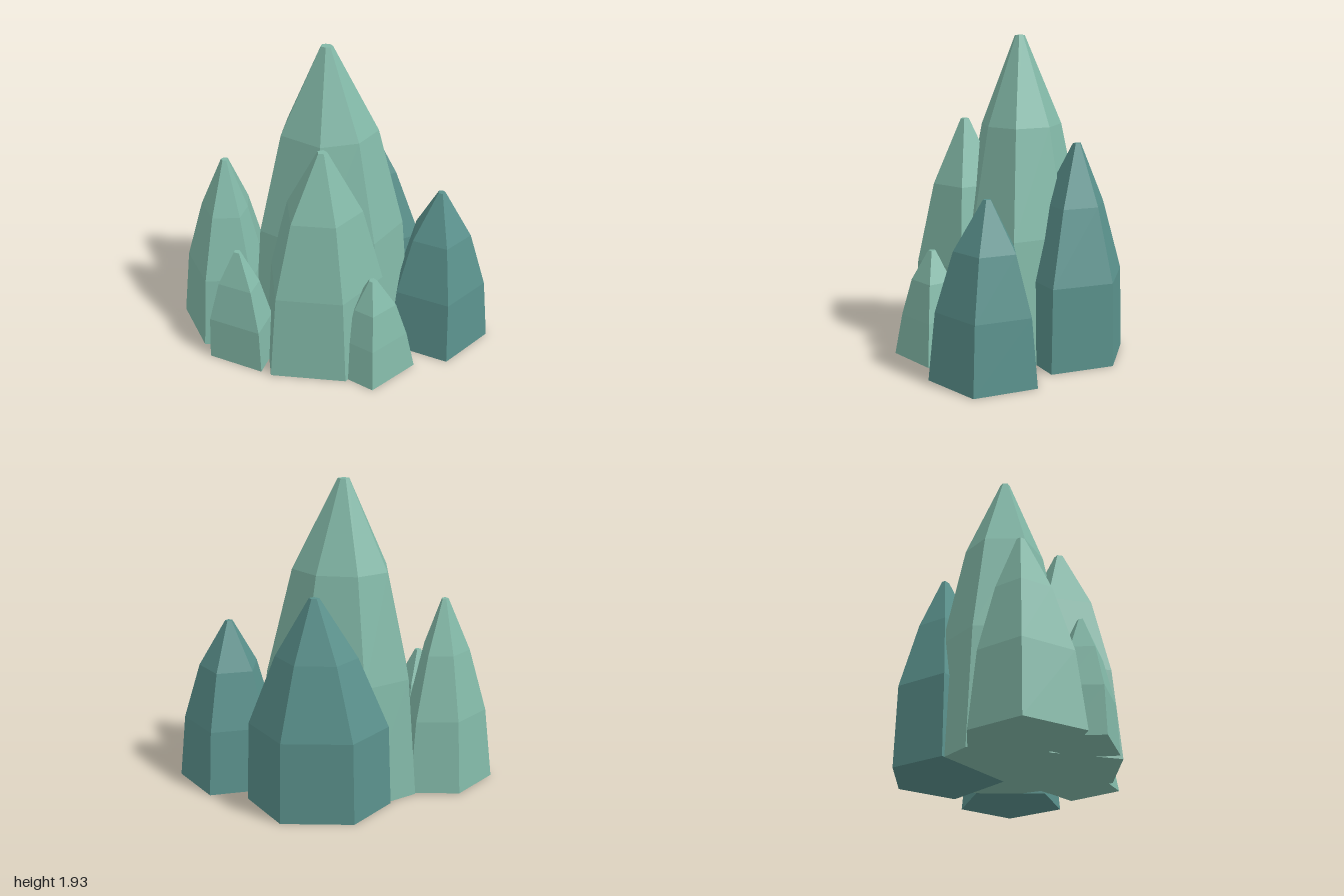
import * as THREE from 'three';

const green = new THREE.MeshStandardMaterial({ name: 'paleGreen', color: 0x82b8a7 });
const teal = new THREE.MeshStandardMaterial({ name: 'deepTeal', color: 0x5a918c });

// Faceted spire: base corners as [angle in degrees from +x towards +z, radius],
// shrunk through four rings up to a small flat tip.
function spire(name, material, x, z, height, corners, low = 0.88, high = 0.58, tip = 0.07) {
  const levels = [[0, 1], [0.385, low], [0.72, high], [1, tip]];
  const rings = levels.map(([t, s]) => corners.map(([deg, r]) => {
    const a = THREE.MathUtils.degToRad(deg);
    return [Math.cos(a) * r * s, t * height, Math.sin(a) * r * s];
  }));
  const pos = [];
  const tri = (...pts) => pts.forEach(p => pos.push(...p));
  const n = corners.length;
  for (let i = 0; i < n; i++) {
    const j = (i + 1) % n;
    for (let k = 0; k < 3; k++) {
      const lo = rings[k], hi = rings[k + 1];
      tri(lo[i], hi[i], lo[j]);
      tri(lo[j], hi[i], hi[j]);
    }
    tri([0, height, 0], rings[3][j], rings[3][i]); // flat tip
    tri([0, 0, 0], rings[0][i], rings[0][j]);      // underside
  }
  const geo = new THREE.BufferGeometry();
  geo.setAttribute('position', new THREE.Float32BufferAttribute(pos, 3));
  geo.computeVertexNormals();
  const mesh = new THREE.Mesh(geo, material);
  mesh.name = name;
  mesh.position.set(x, 0, z);
  return mesh;
}

export function createModel() {
  const group = new THREE.Group();
  group.name = 'crystalCluster';
  group.add(
    // tall centre
    spire('mainSpire', green, -0.05, -0.035, 1.93,
      [[-54, 0.46], [-8, 0.54], [34, 0.45], [90, 0.41], [155, 0.49], [205, 0.5], [250, 0.45]]),
    // large spire in front
    spire('frontSpire', green, -0.02, 0.305, 1.42,
      [[-10, 0.42], [58, 0.355], [131, 0.42], [200, 0.43], [275, 0.4]], 0.87, 0.57),
    // left and right flanks
    spire('rightFlankSpire', green, -0.67, 0.05, 1.18,
      [[-55, 0.35], [-3, 0.26], [50, 0.35], [107, 0.36], [180, 0.33], [249, 0.3]], 0.84, 0.5),
    spire('leftFlankSpire', teal, 0.66, 0, 1.04,
      [[0, 0.34], [72, 0.34], [142, 0.34], [218, 0.34], [289, 0.33]], 0.88, 0.57),
    // rear
    spire('backSpire', teal, 0.11, -0.42, 1.3,
      [[-53, 0.32], [10, 0.425], [85, 0.38], [175, 0.46], [226, 0.35]], 0.96, 0.56),
    // small ones at the front corners
    spire('smallRightSpire', green, -0.53, 0.39, 0.74,
      [[-70, 0.22], [-5, 0.21], [51, 0.27], [149, 0.21], [215, 0.2]], 0.94, 0.61, 0.1),
    spire('smallLeftSpire', green, 0.3, 0.43, 0.65,
      [[-10, 0.27], [80, 0.235], [145, 0.22], [210, 0.22], [280, 0.24]], 0.8, 0.54, 0.1)
  );
  return group;
}
